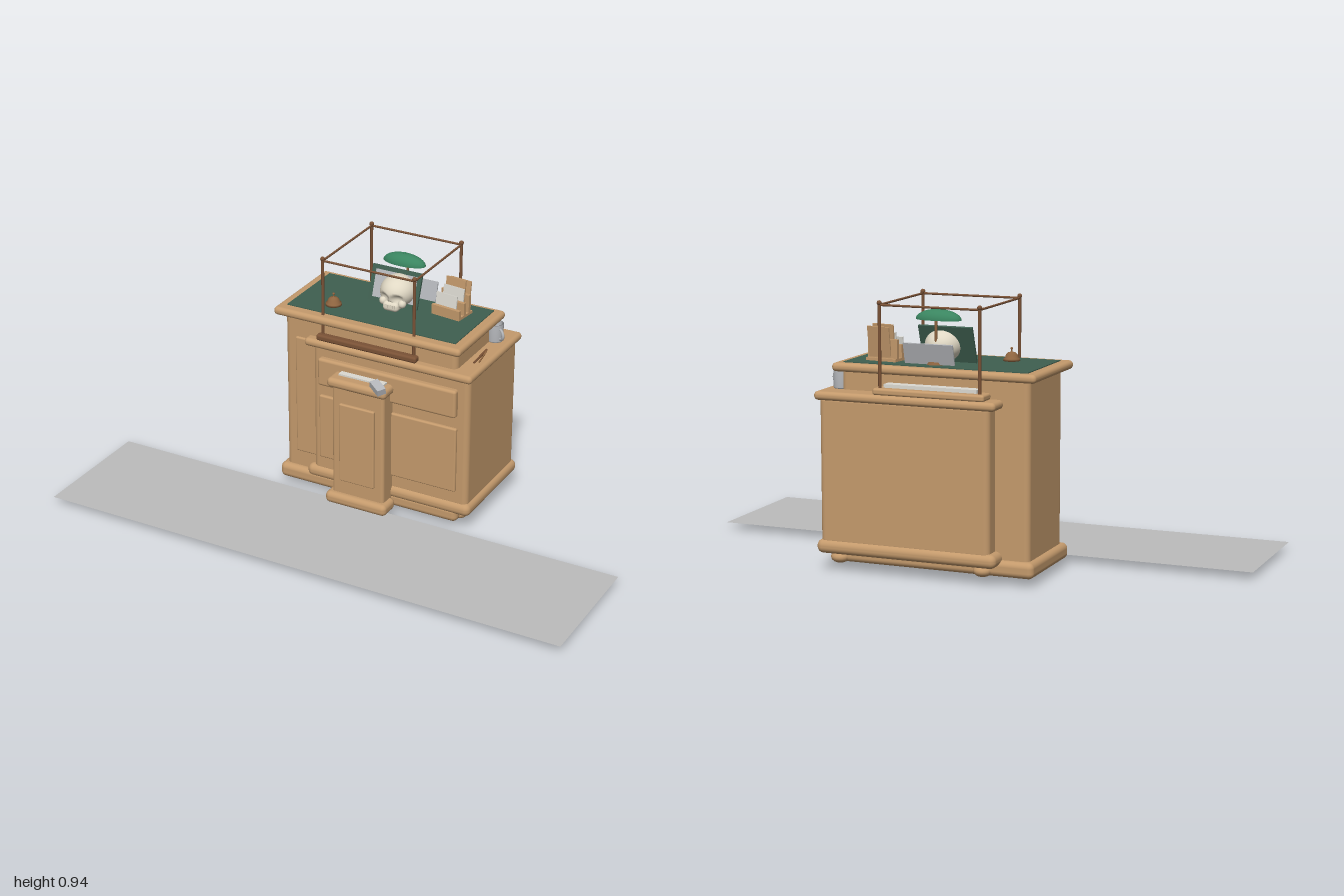
import * as THREE from 'three';
import { RoundedBoxGeometry } from 'three/addons/geometries/RoundedBoxGeometry.js';

const paint = (name, color, side = THREE.FrontSide) => {
  const m = new THREE.MeshStandardMaterial({ color, side });
  m.name = name;
  return m;
};

export function createModel() {
  const root = new THREE.Group();
  root.name = 'writingDesk';
  const wood = paint('wood', 0xc49a6c);
  const darkWood = paint('dark wood', 0x7a5236);
  const felt = paint('green felt', 0x3f5f50);
  const lampGreen = paint('lamp green', 0x3a8560, THREE.DoubleSide);
  const bone = paint('bone', 0xe0d8c4);
  const floorGrey = paint('floor grey', 0xbcbcbc, THREE.DoubleSide);
  const silver = paint('silver', 0xb4b6ba, THREE.DoubleSide);
  const paper = paint('paper', 0xdcdad2);
  const bronze = paint('bronze', 0x8f6540);

  const add = (name, geo, mat, x = 0, y = 0, z = 0, parent = root) => {
    const m = new THREE.Mesh(geo, mat);
    m.name = name;
    m.position.set(x, y, z);
    parent.add(m);
    return m;
  };
  // Box given by its limits, rounded when r is above zero
  const box = (name, mat, [x0, x1], [y0, y1], [z0, z1], r = 0) => {
    const w = x1 - x0, h = y1 - y0, d = z1 - z0;
    const geo = r > 0
      ? new RoundedBoxGeometry(w, h, d, 4, Math.min(r, w / 2.01, h / 2.01, d / 2.01))
      : new THREE.BoxGeometry(w, h, d);
    return add(name, geo, mat, (x0 + x1) / 2, (y0 + y1) / 2, (z0 + z1) / 2);
  };
  const rod = (name, mat, a, b, r) => {
    const p = new THREE.Vector3(...a), q = new THREE.Vector3(...b);
    const m = add(name, new THREE.CylinderGeometry(r, r, p.distanceTo(q), 10), mat);
    m.position.copy(p).add(q).multiplyScalar(0.5);
    m.quaternion.setFromUnitVectors(new THREE.Vector3(0, 1, 0), q.sub(p).normalize());
    return m;
  };

  // Floor strip
  const floor = add('floorStrip', new THREE.PlaneGeometry(2, 0.48), floorGrey, 0, 0.025, 0.227);
  floor.rotation.x = -Math.PI / 2;

  // Tall cabinet with the felt-covered top
  box('tallBase', wood, [-0.36, 0.36], [0.027, 0.083], [-0.41, -0.058], 0.02);
  box('tallBody', wood, [-0.34, 0.34], [0.06, 0.7], [-0.39, -0.08], 0.02);
  box('tallFrontPanel', wood, [-0.295, 0.295], [0.145, 0.605], [-0.09, -0.072], 0.006);
  box('deskTop', wood, [-0.37, 0.365], [0.684, 0.714], [-0.418, -0.047], 0.014);
  box('deskFelt', felt, [-0.335, 0.33], [0.71, 0.717], [-0.392, -0.088]);

  // Wide cabinet
  box('wideBody', wood, [-0.22, 0.397], [0.09, 0.605], [-0.449, -0.066], 0.02);
  box('wideTop', wood, [-0.247, 0.41], [0.591, 0.621], [-0.466, -0.047], 0.014);
  box('wideBase', wood, [-0.245, 0.41], [0.062, 0.11], [-0.461, -0.054], 0.022);
  box('drawerFront', wood, [-0.19, 0.355], [0.45, 0.556], [-0.075, -0.044], 0.01);
  box('doorPanel', wood, [-0.19, 0.355], [0.155, 0.405], [-0.075, -0.055], 0.006);
  for (const x of [-0.18, 0.345]) for (const z of [-0.4, -0.118]) {
    add('bunFoot', new THREE.SphereGeometry(0.033, 20, 12), wood, x, 0.044, z).scale.y = 0.65;
  }

  // Narrow front pedestal
  box('pedestalBase', wood, [-0.125, 0.12], [0.024, 0.068], [-0.06, 0.026], 0.018);
  box('pedestalBody', wood, [-0.105, 0.102], [0.05, 0.505], [-0.075, 0.003], 0.012);
  box('pedestalPanel', wood, [-0.072, 0.068], [0.122, 0.43], [-0.004, 0.013], 0.005);
  box('pedestalTop', wood, [-0.12, 0.115], [0.488, 0.524], [-0.06, 0.02], 0.016);
  box('pedestalPapers', paper, [-0.09, 0.09], [0.524, 0.53], [-0.05, -0.02]);
  const card = box('pedestalCard', silver, [0.052, 0.112], [0.519, 0.543], [-0.006, 0.026]);
  card.rotation.set(0.15, -0.6, -0.12);

  // Small scraps under the pedestal
  for (let i = 0; i < 6; i++) {
    const s = box('floorScrap', felt, [-0.09 + i * 0.034, -0.075 + i * 0.034], [0.004, 0.009],
      [-0.045 + (i % 3) * 0.018, -0.03 + (i % 3) * 0.018]);
    s.rotation.set(0.5 * (i % 2 ? 1 : -1), i, 0);
  }

  // Rail frame with its two foot bars
  box('frontFootBar', darkWood, [-0.2, 0.195], [0.62, 0.643], [-0.083, -0.053], 0.008);
  box('backFootBar', wood, [-0.205, 0.195], [0.62, 0.643], [-0.457, -0.39], 0.008);
  box('backTrayPapers', paper, [-0.17, 0.165], [0.643, 0.655], [-0.43, -0.392]);
  const xs = [-0.183, 0.176], zs = [-0.434, -0.077];
  for (const x of xs) {
    for (const z of zs) {
      rod('framePost', darkWood, [x, 0.64, z], [x, 0.925, z], 0.0055);
      add('frameFinial', new THREE.SphereGeometry(0.0085, 12, 8), darkWood, x, 0.927, z);
    }
    rod('frameSideRail', darkWood, [x, 0.92, zs[0]], [x, 0.92, zs[1]], 0.004);
  }
  for (const z of zs) rod('frameCrossRail', darkWood, [xs[0], 0.92, z], [xs[1], 0.92, z], 0.004);

  // Skull: a round cranium with dented eye sockets, cheeks and a jaw
  const skull = new THREE.Group();
  skull.name = 'skull';
  skull.position.set(0.013, 0.775, -0.272);
  root.add(skull);
  const head = new THREE.SphereGeometry(1, 48, 36);
  const pos = head.attributes.position, v = new THREE.Vector3();
  const dents = [[-0.38, -0.18, 0.34, 0.26], [0.38, -0.18, 0.34, 0.26], [0, -0.52, 0.18, 0.2]];
  for (let i = 0; i < pos.count; i++) {
    v.fromBufferAttribute(pos, i);
    let k = 1;
    if (v.z > 0) for (const [dx, dy, r, depth] of dents) {
      const d = Math.hypot(v.x - dx, v.y - dy) / r;
      if (d < 1) k -= depth * (1 - d * d);
    }
    pos.setXYZ(i, v.x * 0.064, v.y * 0.057, v.z * k * 0.071);
  }
  head.computeVertexNormals();
  add('cranium', head, bone, 0, 0, 0, skull);
  add('jaw', new RoundedBoxGeometry(0.062, 0.036, 0.05, 4, 0.015), bone, 0, -0.041, 0.045, skull);
  for (const s of [-1, 1]) {
    add('cheek', new THREE.SphereGeometry(0.015, 14, 10), bone, s * 0.037, -0.03, 0.044, skull);
  }
  for (let i = -2; i <= 2; i++) {
    add('tooth', new THREE.BoxGeometry(0.007, 0.012, 0.006), bone, i * 0.009, -0.037, 0.069, skull);
  }

  // Desk lamp with a long domed shade
  const shade = add('lampShade', new THREE.SphereGeometry(1, 32, 12, 0, Math.PI * 2, 0, Math.PI / 2),
    lampGreen, 0.015, 0.864, -0.312);
  shade.scale.set(0.082, 0.036, 0.036);
  rod('lampStem', bronze, [0.015, 0.717, -0.335], [0.015, 0.88, -0.335], 0.0045);
  add('lampFoot', new THREE.CylinderGeometry(0.028, 0.032, 0.01, 24), bronze, 0.015, 0.722, -0.335);
  add('lampFinial', new THREE.SphereGeometry(0.006, 12, 8), lampGreen, 0.015, 0.899, -0.312);

  // Leaning frame behind the skull and a loose card at the back
  const frame = new THREE.Group();
  frame.name = 'leaningFrame';
  frame.position.set(-0.004, 0.78, -0.28);
  frame.rotation.x = -0.33;
  root.add(frame);
  add('frameBoard', new THREE.BoxGeometry(0.196, 0.13, 0.009), felt, 0, 0, 0, frame);
  add('framePicture', new THREE.BoxGeometry(0.164, 0.1, 0.004), silver, 0, 0, 0.004, frame);
  const backCard = box('backCard', silver, [-0.06, 0.12], [0.718, 0.79], [-0.364, -0.358]);
  backCard.rotation.x = -0.25;

  // Letter rack with stepped slats and letters
  const rack = new THREE.Group();
  rack.name = 'letterRack';
  rack.position.set(0.21, 0.717, -0.3);
  rack.rotation.y = -0.12;
  root.add(rack);
  [0.036, 0.055, 0.075].forEach((h, i) => {
    const z = 0.037 - i * 0.031;
    add('rackSlat', new THREE.BoxGeometry(0.115, h, 0.013), wood, 0, h / 2, z, rack);
    const letter = add('letter', new THREE.BoxGeometry(0.085, h + 0.03, 0.005),
      i === 2 ? wood : paper, 0.008 * (i - 1), h / 2 + 0.028, z - 0.013, rack);
    letter.rotation.x = -0.14;
  });
  add('rackBase', new THREE.BoxGeometry(0.115, 0.01, 0.085), wood, 0, 0.005, 0, rack);
  const tall = add('tallCard', new THREE.BoxGeometry(0.08, 0.1, 0.006), wood, 0, 0.075, -0.02, rack);
  tall.rotation.x = -0.12;

  // Counter bell
  const bell = [[0, 0.046], [0.004, 0.045], [0.005, 0.041], [0.002, 0.038], [0.002, 0.031],
    [0.013, 0.028], [0.02, 0.021], [0.023, 0.01], [0.028, 0.008], [0.029, 0], [0, 0]];
  add('counterBell', new THREE.LatheGeometry(bell.map(p => new THREE.Vector2(...p)).reverse(), 24),
    bronze, -0.188, 0.717, -0.162);

  // Mug at the side, handle outwards
  const cup = [[0, 0], [0.027, 0], [0.029, 0.004], [0.029, 0.065], [0.025, 0.065], [0.025, 0.006], [0, 0.006]];
  add('mug', new THREE.LatheGeometry(cup.map(p => new THREE.Vector2(...p)), 28), silver, 0.352, 0.621, -0.36);
  const handle = add('mugHandle', new THREE.TorusGeometry(0.018, 0.005, 8, 24), silver, 0.379, 0.653, -0.345);
  handle.rotation.y = -0.6;

  // Pens lying on the wide top
  rod('pen', darkWood, [0.375, 0.63, -0.145], [0.37, 0.632, -0.253], 0.004);
  rod('pen', bronze, [0.385, 0.626, -0.165], [0.378, 0.636, -0.235], 0.003);

  return root;
}
